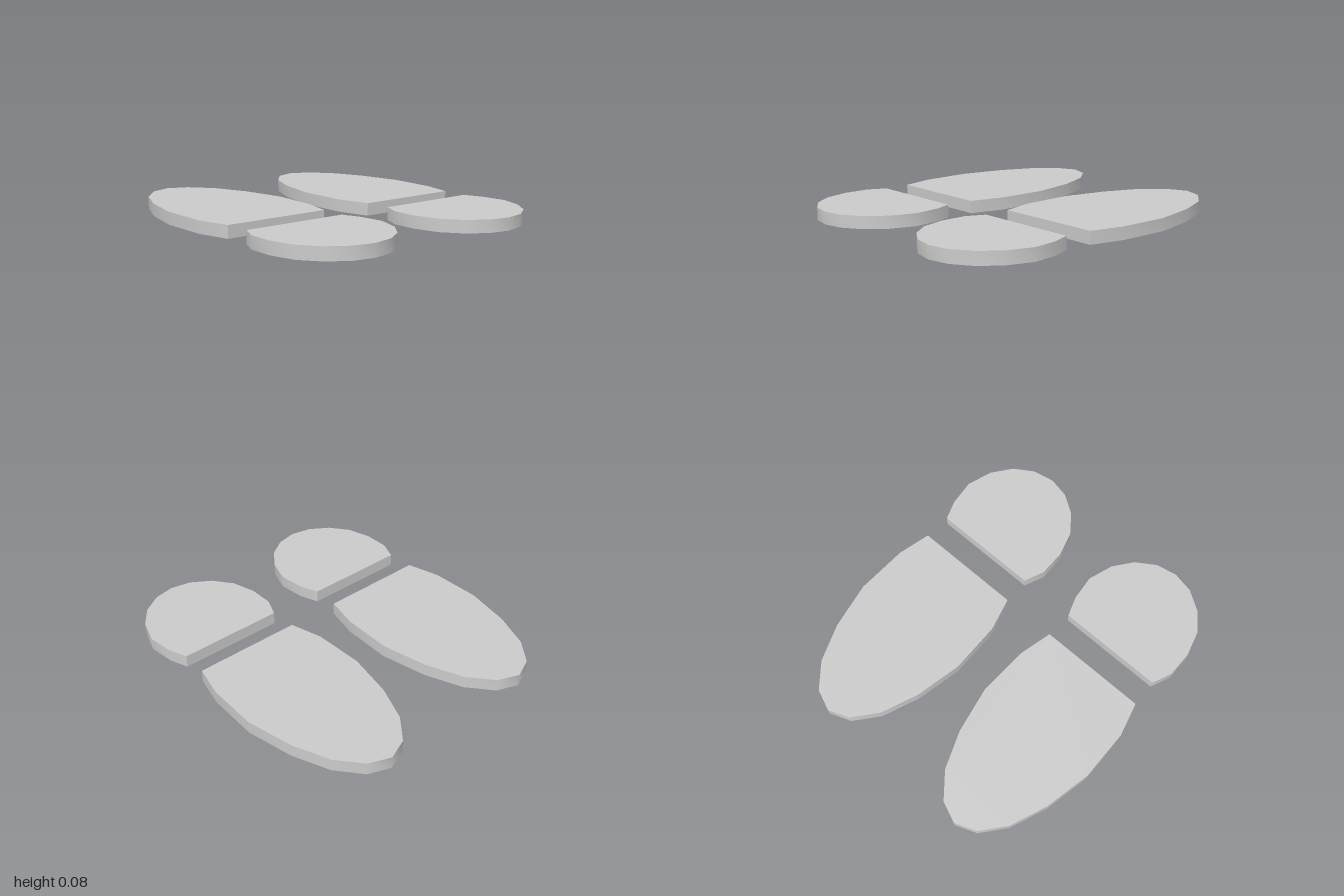
import * as THREE from 'three';
import { toCreasedNormals } from 'three/addons/utils/BufferGeometryUtils.js';

const HEIGHT = 0.075;
const FOOT_Z = 0.4925;

// Outlines seen from above: [x, z] relative to the centre line of one print
const SOLE = [
  [0.2, -0.327], [0, -0.375], [-0.31, -0.387], [-0.59, -0.33], [-0.81, -0.242], [-0.95, -0.125], [-1, 0],
  [-0.95, 0.125], [-0.81, 0.24], [-0.59, 0.328], [-0.31, 0.386], [0, 0.38], [0.2, 0.327],
];
const HEEL = [
  [0.365, 0.321], [0.48, 0.37], [0.635, 0.37], [0.785, 0.328], [0.9, 0.24], [0.975, 0.125], [1, 0],
  [0.975, -0.125], [0.9, -0.24], [0.785, -0.328], [0.635, -0.378], [0.48, -0.361], [0.365, -0.319],
];

const material = new THREE.MeshStandardMaterial({ color: 0xcccccc });

// Flat slab lying on the ground, smooth around its rim with sharp top and bottom edges
function slab(name, outline) {
  const shape = new THREE.Shape(outline.map(([x, z]) => new THREE.Vector2(x, -z)));
  const geometry = new THREE.ExtrudeGeometry(shape, { depth: HEIGHT, bevelEnabled: false });
  geometry.rotateX(-Math.PI / 2);
  const mesh = new THREE.Mesh(toCreasedNormals(geometry, 0.85), material);
  mesh.name = name;
  return mesh;
}

export function createModel() {
  const model = new THREE.Group();
  model.name = 'footprints';
  // A pair of shoe prints side by side, toes towards -x
  for (const [name, side] of [['frontFootprint', 1], ['backFootprint', -1]]) {
    const print = new THREE.Group();
    print.name = name;
    print.add(slab('sole', SOLE), slab('heel', HEEL));
    print.position.z = side * FOOT_Z;
    model.add(print);
  }
  return model;
}
